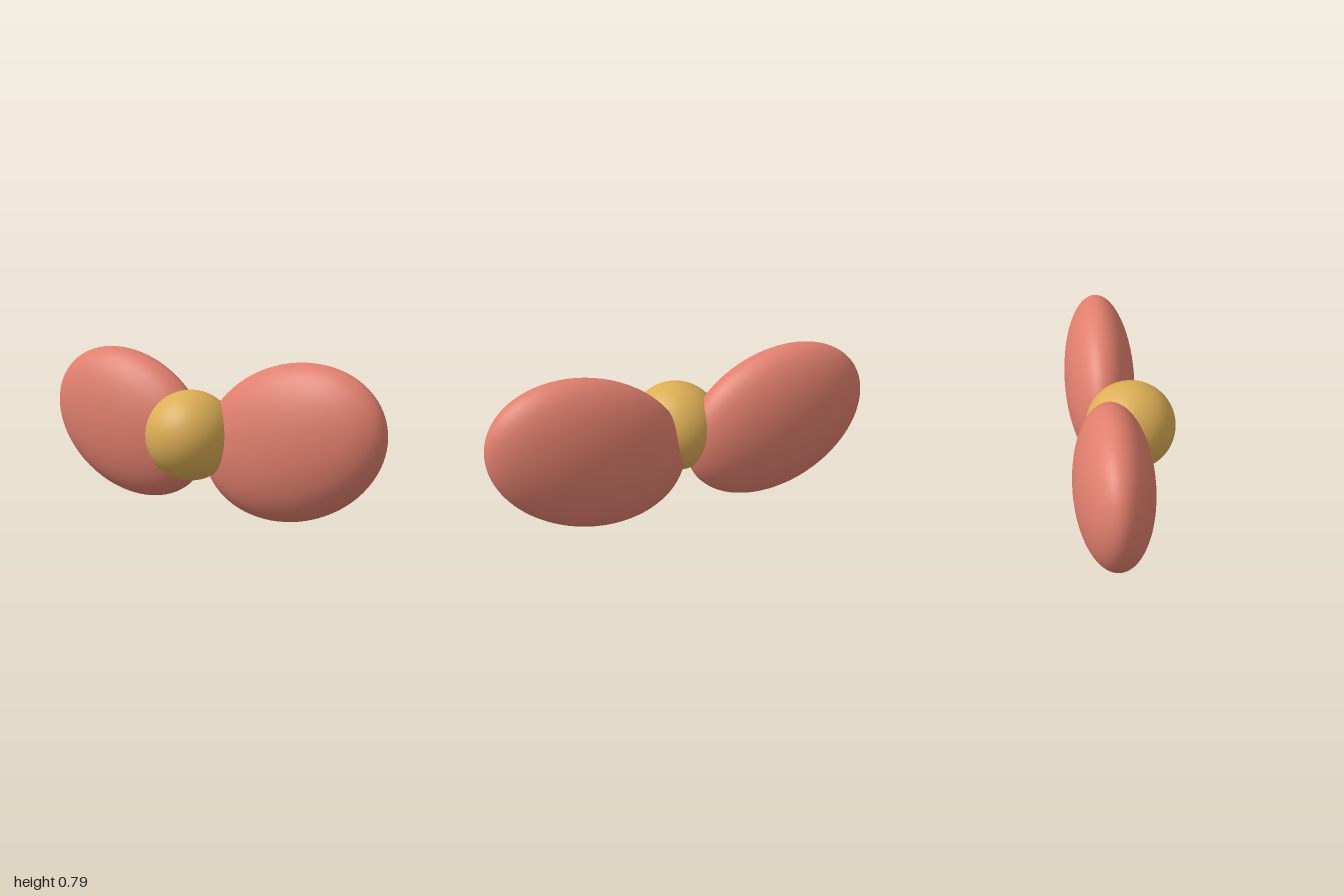
import * as THREE from 'three';

export function createModel() {
  const model = new THREE.Group();
  model.name = 'bow';

  const coral = new THREE.MeshStandardMaterial({ color: 0xe07f6d });
  coral.name = 'coral';
  const gold = new THREE.MeshStandardMaterial({ color: 0xdcae55 });
  gold.name = 'gold';

  // One unit sphere shared by every part
  const ball = new THREE.SphereGeometry(1, 64, 40);

  // Flattened, upward tilted loops, mirrored left and right
  for (const side of [1, -1]) {
    const loop = new THREE.Mesh(ball, coral);
    loop.name = side > 0 ? 'leftLoop' : 'rightLoop';
    loop.scale.set(0.51, 0.378, 0.189);
    loop.rotation.z = side * 0.35;
    loop.position.set(side * 0.504, 0.397, -0.082);
    model.add(loop);
  }

  // Round knot set forward in the middle
  const knot = new THREE.Mesh(ball, gold);
  knot.name = 'knot';
  knot.scale.setScalar(0.227);
  knot.position.set(0, 0.398, 0.044);
  model.add(knot);

  return model;
}
